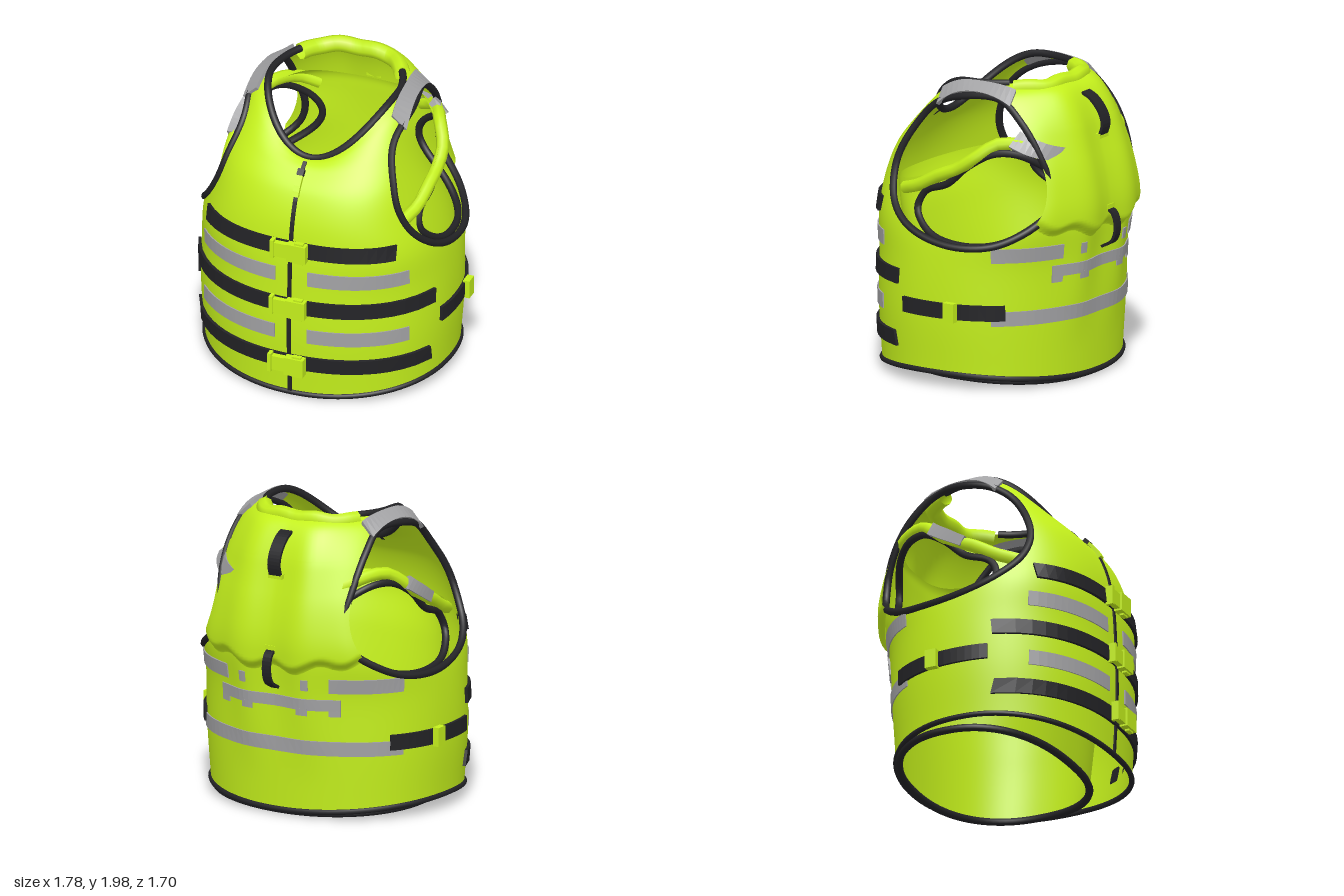
import * as THREE from 'three';
import { mergeVertices } from 'three/addons/utils/BufferGeometryUtils.js';

const mat = (color) => new THREE.MeshStandardMaterial({ color, side: THREE.DoubleSide });
const V = (x, y, z) => new THREE.Vector3(x, y, z);

// Smooth surface through rings: [halfWidth, zFront, zBack, yFront, ySide, yBack, squareness]
function ringSurface(rings, bulge = () => 0) {
  const spline = new THREE.CubicInterpolant(rings.map((_, i) => i), rings.flat(), 7);
  const at = (t, s) => {
    const [rx, zf, zb, yf, ys, yb, n] = spline.evaluate(s);
    const c = Math.cos(t), q = Math.sin(t);
    const r = Math.pow(Math.abs(c) ** n + Math.abs(q) ** n, -1 / n);
    const y = ys + ((c > 0 ? yf : yb) - ys) * Math.abs(c) ** 2.2;
    const p = V(rx * r * q, y, (zf + zb) / 2 + (zf - zb) / 2 * r * c);
    p.z += bulge(p, c);
    return p;
  };
  const normal = (t, s) => {
    const s0 = Math.max(0, s - 0.02);
    const a = at(t + 0.01, s).sub(at(t - 0.01, s));
    return a.cross(at(t, s0 + 0.02).sub(at(t, s0))).normalize();
  };
  return { at, normal, max: rings.length - 1 };
}

// Ways of looking at a surface: projection and range of angles
const FRONT = { map: (p) => [p.x, p.y], range: [-1.55, 1.55] };
const SIDE = { map: (p) => [p.z, p.y], range: [0.05, 3.09] };
const TOP = { map: (p) => [p.x, p.z], range: [0.3, 2.9], from: 5.5 };
const BACK = { map: (p) => [Math.atan2(p.x, -p.z), p.y], range: [1.7, 4.58] };

// Find the surface point that projects onto (a, b), lifted by off
function project(surf, mode, a, b) {
  const [t0, t1] = mode.range, s0 = mode.from || 0;
  const err = (t, s) => { const m = mode.map(surf.at(t, s)); return (m[0] - a) ** 2 + (m[1] - b) ** 2; };
  let best = [Infinity, 0, 0];
  const attempt = (t, s) => {
    if (s < s0 || s > surf.max) return;
    const e = err(t, s);
    if (e < best[0]) best = [e, t, s];
  };
  for (let i = 0; i <= 30; i++) for (let j = 0; j <= 26; j++) attempt(t0 + (t1 - t0) * i / 30, s0 + (surf.max - s0) * j / 26);
  for (let k = 0, h = 0.12; k < 26; k++, h *= 0.75) {
    const [, t, s] = best;
    for (const [dt, ds] of [[h, 0], [-h, 0], [0, h], [0, -h], [h, h], [-h, -h], [h, -h], [-h, h]]) attempt(t + dt, s + ds);
  }
  const [, t, s] = best;
  return (off) => surf.at(t, s).addScaledVector(surf.normal(t, s), off);
}

// Triangulated patch trimmed where keep(p) is negative
function patch(at, [t0, t1, nt], [s0, s1, ns], keep) {
  const grid = [], out = [];
  for (let i = 0; i <= nt; i++) {
    grid.push([]);
    for (let j = 0; j <= ns; j++) {
      const p = at(t0 + (t1 - t0) * i / nt, s0 + (s1 - s0) * j / ns);
      grid[i].push({ p, f: keep(p) });
    }
  }
  const clip = (tri) => {
    const poly = [];
    tri.forEach((a, i) => {
      const b = tri[(i + 1) % 3];
      if (a.f >= 0) poly.push(a.p);
      if (a.f >= 0 !== b.f >= 0) poly.push(a.p.clone().lerp(b.p, a.f / (a.f - b.f)));
    });
    for (let i = 2; i < poly.length; i++) out.push(poly[0], poly[i - 1], poly[i]);
  };
  for (let i = 0; i < nt; i++) for (let j = 0; j < ns; j++) {
    const a = grid[i][j], b = grid[i + 1][j], c = grid[i + 1][j + 1], d = grid[i][j + 1];
    clip([a, b, c]);
    clip([a, c, d]);
  }
  const geo = mergeVertices(new THREE.BufferGeometry().setFromPoints(out), 1e-4);
  geo.computeVertexNormals();
  return geo;
}

// Closed outline in the (z, y) plane, with signed distance (positive outside)
function outline(points) {
  const pts = new THREE.CatmullRomCurve3(points.map(([z, y]) => V(0, y, z)), true).getPoints(48).slice(0, 48);
  const dist = (p) => {
    let d = Infinity, inside = false;
    pts.forEach((a, i) => {
      const b = pts[(i + 1) % pts.length], ez = b.z - a.z, ey = b.y - a.y;
      const k = THREE.MathUtils.clamp(((p.z - a.z) * ez + (p.y - a.y) * ey) / (ez * ez + ey * ey), 0, 1);
      d = Math.min(d, Math.hypot(p.z - a.z - k * ez, p.y - a.y - k * ey));
      if (a.y > p.y !== b.y > p.y && p.z < a.z + ez * (p.y - a.y) / ey) inside = !inside;
    });
    return Math.max(inside ? -d : d, 0.26 - Math.abs(p.x));
  };
  return { pts, dist };
}

// Solid strip through four-cornered sections
function loft(rows) {
  const out = [], quad = (a, b, c, d) => out.push(a, b, c, a, c, d);
  for (let i = 1; i < rows.length; i++) for (let k = 0; k < 4; k++) {
    const m = (k + 1) % 4;
    quad(rows[i - 1][k], rows[i][k], rows[i][m], rows[i - 1][m]);
  }
  quad(...rows[0]);
  quad(...rows[rows.length - 1].slice().reverse());
  const geo = new THREE.BufferGeometry().setFromPoints(out);
  geo.computeVertexNormals();
  return geo;
}

// Flat strip laid on a surface along a straight projected line
function ribbon(surf, mode, [a0, b0], [a1, b1], width, lift = 0.018, n = 14) {
  const len = Math.hypot(a1 - a0, b1 - b0), da = -(b1 - b0) / len * width / 2, db = (a1 - a0) / len * width / 2;
  return loft(Array.from({ length: n + 1 }, (_, i) => {
    const a = a0 + (a1 - a0) * i / n, b = b0 + (b1 - b0) * i / n;
    const lo = project(surf, mode, a - da, b - db), hi = project(surf, mode, a + da, b + db);
    return [lo(lift), hi(lift), hi(0.002), lo(0.002)];
  }));
}

// Arched webbing loop on the centre of the back, path in (z, y)
function webbing(path, width) {
  const curve = new THREE.CatmullRomCurve3(path.map(([z, y]) => V(0, y, z)));
  return loft(Array.from({ length: 17 }, (_, i) => {
    const p = curve.getPoint(i / 16), n = curve.getTangent(i / 16).cross(V(1, 0, 0)).multiplyScalar(0.009);
    return [[-1, 1], [1, 1], [1, -1], [-1, -1]].map(([x, k]) => p.clone().addScaledVector(n, k).setX(x * width / 2 - 0.01));
  }));
}

const tube = (pts, r, closed = false) =>
  new THREE.TubeGeometry(new THREE.CatmullRomCurve3(pts, closed), pts.length * 2, r, 8, closed);

export function createModel() {
  const vest = new THREE.Group();
  const lime = mat(0xc4f01c), black = mat(0x232326), grey = mat(0xa2a2a4);
  const add = (name, geo, material, sides = [1]) => {
    for (const side of sides) {
      const mesh = new THREE.Mesh(geo, material);
      mesh.name = name;
      mesh.scale.x = side;
      vest.add(mesh);
    }
  };
  const both = [1, -1];
  const box = (name, material, [w, h, d], [x, y, z], sides) =>
    add(name, new THREE.BoxGeometry(w, h, d).translate(x, y, z), material, sides);

  // Outer shell with a shallow channel down the back
  const shell = ringSurface([
    [0.82, 0.73, -0.70, 0.03, 0.1, 0.04, 2.2], [0.845, 0.75, -0.72, 0.45, 0.45, 0.45, 2.2],
    [0.84, 0.74, -0.73, 0.8, 0.8, 0.8, 2.25], [0.815, 0.725, -0.75, 1.05, 1.05, 1.05, 2.5],
    [0.75, 0.69, -0.75, 1.27, 1.27, 1.27, 2.6], [0.69, 0.62, -0.73, 1.45, 1.5, 1.48, 2.6],
    [0.61, 0.53, -0.68, 1.56, 1.72, 1.7, 2.4], [0.53, 0.47, -0.59, 1.6, 1.88, 1.88, 2.1],
    [0.43, 0.42, -0.47, 1.61, 1.94, 1.96, 2],
  ], (p, c) => c > 0 ? 0 : -0.035 * Math.exp(-(((Math.abs(p.x) - 0.22) / 0.13) ** 2)) * THREE.MathUtils.smoothstep(p.y, 0.2, 0.9));
  const armhole = outline([[0.4, 1.2], [0.43, 1.4], [0.31, 1.66], [0.18, 1.79], [0, 1.86], [-0.28, 1.87], [-0.46, 1.73], [-0.58, 1.55],
    [-0.66, 1.32], [-0.64, 1.13], [-0.45, 0.98], [-0.2, 0.94], [0.08, 0.98], [0.28, 1.07]]);
  add('outerShell', patch(shell.at, [0, Math.PI * 2, 112], [0, shell.max, 64], armhole.dist), lime);

  // Inner liner, joining the shell at the chest, with its own arm loops
  const liner = ringSurface([
    [0.73, 0.42, -0.67, 0.03, 0.07, 0.03, 2.3], [0.76, 0.47, -0.68, 0.5, 0.5, 0.5, 2.3],
    [0.77, 0.56, -0.7, 0.95, 0.95, 0.95, 2.3], [0.68, 0.64, -0.7, 1.25, 1.25, 1.25, 2.3],
    [0.67, 0.56, -0.69, 1.48, 1.48, 1.48, 2.4], [0.63, 0.5, -0.68, 1.58, 1.58, 1.58, 2.4], [0.52, 0.4, -0.64, 1.66, 1.66, 1.66, 2.4],
  ]);
  const armLoop = outline([[0.22, 1.12], [0.17, 1.24], [0, 1.31], [-0.15, 1.44], [-0.33, 1.54], [-0.48, 1.53],
    [-0.6, 1.43], [-0.64, 1.28], [-0.6, 1.12], [-0.44, 0.98], [-0.2, 0.94], [0.08, 0.99]]);
  const topEdge = new THREE.CubicInterpolant([-0.7, -0.5, -0.35, -0.2, 0, 0.3, 0.65], [1.58, 1.64, 1.62, 1.54, 1.42, 1.3, 1.22], 1);
  add('innerLiner', patch(liner.at, [0, Math.PI * 2, 96], [0, liner.max, 56],
    (p) => Math.min(armLoop.dist(p), topEdge.evaluate(p.z)[0] - p.y)), lime);

  // Soft padding along the top of each arm loop
  add('armLoopPadding', tube([[-0.63, 1.5], [-0.56, 1.56], [-0.44, 1.595], [-0.33, 1.59], [-0.2, 1.5], [-0.08, 1.42], [0.06, 1.36], [0.22, 1.27], [0.36, 1.22]]
    .map(([z, y]) => project(liner, SIDE, z, y)(0.012)), 0.042), lime, both);

  // Padded flap over the upper back with a scalloped lower edge
  const flapEdge = (p) => {
    const a = Math.atan2(p.x, -p.z);
    return p.y - 0.98 - 0.14 * a * a - 0.025 * Math.cos(a * 15);
  };
  const flapAt = (t, s) => {
    const p = shell.at(t, s), sm = THREE.MathUtils.smoothstep;
    const off = 0.004 + 0.045 * sm(flapEdge(p), 0, 0.07) * (1 - sm(p.y, 1.1, 1.65)) * (1 - sm(Math.abs(t - Math.PI), 0.6, 0.95));
    return p.addScaledVector(shell.normal(t, s), off);
  };
  add('backFlap', patch(flapAt, [Math.PI - 0.95, Math.PI + 0.95, 60], [2.5, 6, 48],
    (p) => Math.min(armhole.dist(p), flapEdge(p))), lime);

  // Black binding on every edge
  const ring = (surf, s, t0, t1, n) => Array.from({ length: n }, (_, i) => surf.at(t0 + (t1 - t0) * i / n, s));
  add('shellHem', tube(ring(shell, 0, 0, Math.PI * 2, 48), 0.018, true), black);
  add('linerHem', tube(ring(liner, 0, 0, Math.PI * 2, 48), 0.025, true), black);
  add('armholeBinding', tube(armhole.pts.map((p) => project(shell, SIDE, p.z, p.y)(0)), 0.024, true), black, both);
  add('armLoopBinding', tube(armLoop.pts.map((p) => project(liner, SIDE, p.z, p.y)(0)), 0.024, true), black, both);
  add('neckBinding', tube(ring(shell, shell.max, -2.2, 2.25, 40), 0.024), black);

  // Soft rolled collar
  add('collar', tube(Array.from({ length: 17 }, (_, i) => {
    const p = shell.at(Math.PI - 0.96 + i * 0.12, shell.max);
    return p.add(V(0, -0.035 + 0.006 * Math.sin(i * 1.3), -0.012 + 0.005 * Math.cos(i * 1.1)));
  }), 0.055), lime);

  // Zip and puller
  add('zip', ribbon(shell, FRONT, [-0.01, 0.04], [-0.01, 1.6], 0.026, 0.012, 24), black);
  add('zipPuller', ribbon(shell, FRONT, [-0.01, 1.43], [-0.01, 1.55], 0.042, 0.025, 4), lime);
  add('zipPullerGrip', ribbon(shell, FRONT, [-0.01, 1.54], [-0.01, 1.57], 0.046, 0.028, 2), black);

  // Front belts with buckles
  for (const [y, x0, x1, z] of [[1.1, -0.66, 0.63, 0.76], [0.69, -0.81, 0.8, 0.78], [0.275, -0.8, 0.78, 0.8]]) {
    add('frontBelt', ribbon(shell, FRONT, [x0, y], [x1, y], 0.1, 0.022, 26), black);
    box('buckleSlider', lime, [0.025, 0.13, 0.05], [-0.12, y, z]);
    box('buckleSocket', lime, [0.13, 0.125, 0.055], [0.05, y, z + 0.005]);
    box('bucklePlug', lime, [0.09, 0.1, 0.04], [-0.06, y, z]);
    box('buckleRelease', lime, [0.06, 0.15, 0.03], [0.065, y, z + 0.005]);
  }

  // Side belts with buckles
  add('sideBelt', ribbon(shell, SIDE, [0.23, 0.52], [-0.45, 0.52], 0.1, 0.022), black, both);
  box('sideBuckle', lime, [0.045, 0.125, 0.08], [0.87, 0.52, -0.145], both);

  // Reflective strips
  for (const y of [0.9, 0.48]) add('frontReflector', ribbon(shell, FRONT, [0.11, y], [0.7, y], 0.1, 0.01), grey, both);
  add('sideBackReflector', ribbon(shell, BACK, [0.5, 0.9], [1.1, 0.9], 0.095, 0.01), grey, both);
  add('lowBackReflector', ribbon(shell, BACK, [-1.1, 0.48], [1.1, 0.48], 0.095, 0.01, 32), grey);
  add('midBackReflector', ribbon(shell, BACK, [-0.6, 0.77], [0.6, 0.77], 0.075, 0.01, 24), grey);
  for (const a of [0.22, 0.5]) add('reflectorTab', ribbon(shell, BACK, [a, 0.72], [a + 0.1, 0.72], 0.05, 0.01, 3), grey, both);
  add('backReflectorTab', ribbon(shell, BACK, [0.27, 0.9], [0.33, 0.9], 0.07, 0.01, 3), grey, both);
  add('shoulderReflector', ribbon(shell, TOP, [0.5, 0.15], [0.455, -0.36], 0.085, 0.028), grey, both);
  add('leftArmLoopReflector', ribbon(liner, SIDE, [-0.42, 1.605], [-0.64, 1.52], 0.07, 0.058, 8), grey);
  add('rightArmLoopReflector', ribbon(liner, SIDE, [0.0, 1.39], [-0.23, 1.52], 0.07, 0.058, 8), grey, [-1]);

  // Webbing loops on the back
  add('grabLoop', webbing([[-0.61, 1.86], [-0.67, 1.83], [-0.74, 1.75], [-0.765, 1.67], [-0.74, 1.58]], 0.09), black);
  box('grabLoopKeeper', lime, [0.1, 0.03, 0.04], [-0.01, 1.59, -0.735]);
  add('lowerLoop', webbing([[-0.77, 1.12], [-0.83, 1.09], [-0.855, 1.0], [-0.83, 0.91], [-0.75, 0.86]], 0.06), black);
  box('lowerLoopKeeper', lime, [0.08, 0.03, 0.04], [-0.01, 1.13, -0.79]);
  return vest;
}
